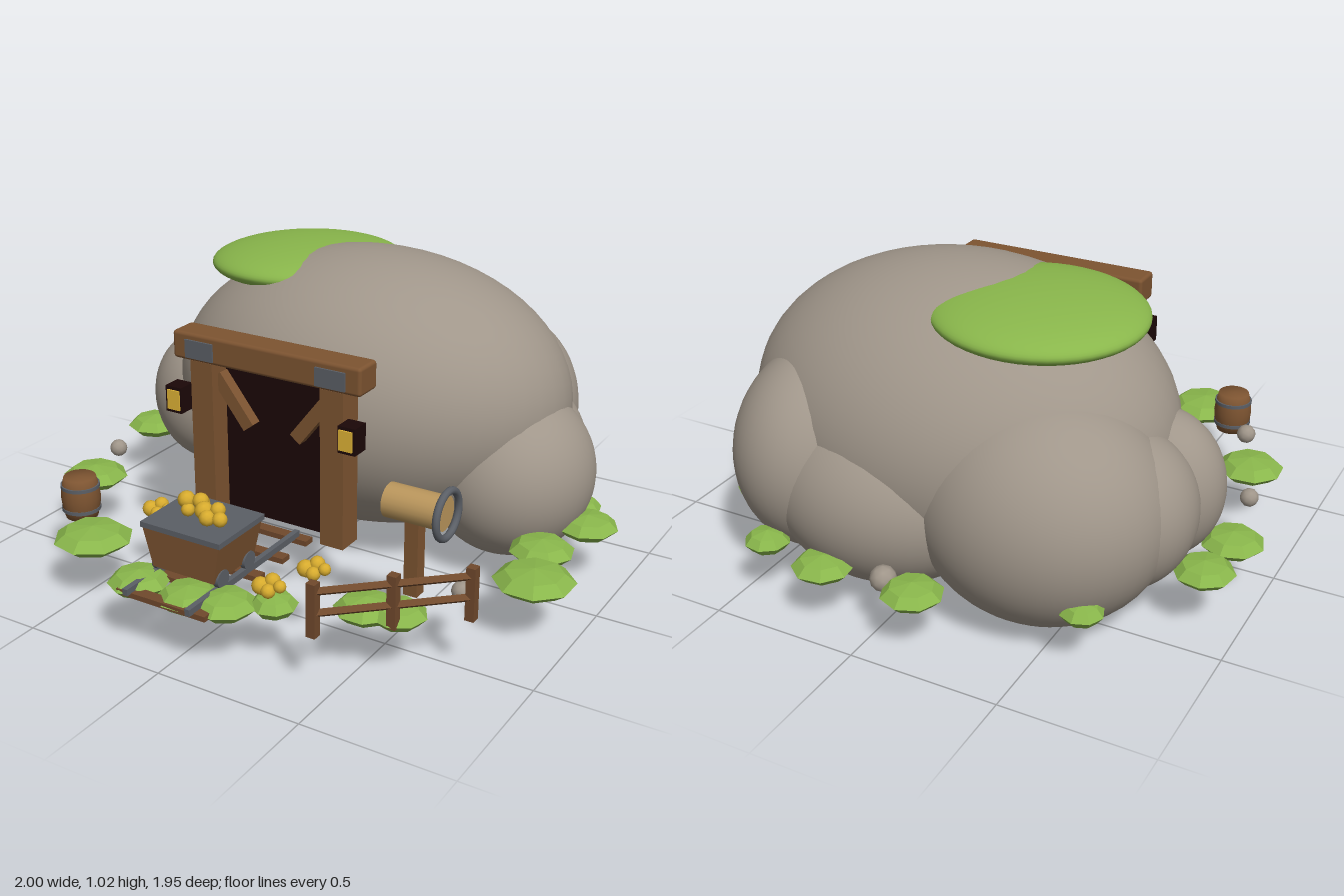
import * as THREE from 'three';
import { RoundedBoxGeometry } from 'three/addons/geometries/RoundedBoxGeometry.js';

const mat = (name, color, flatShading = false) => {
  const m = new THREE.MeshStandardMaterial({ color, flatShading });
  m.name = name;
  return m;
};

export function createModel() {
  const root = new THREE.Group();
  root.name = 'mineEntrance';
  const rock = mat('rock', 0xa0968a), moss = mat('moss', 0x89b64b, true), mossTop = mat('smoothMoss', 0x89b64b);
  const timber = mat('timber', 0x7d5431), darkWood = mat('darkWood', 0x70492c), dark = mat('darkness', 0x1b0707);
  const iron = mat('iron', 0x5b5f66), gold = mat('gold', 0xd8ac2e), glow = mat('lanternGlow', 0xe0b436), tan = mat('paleWood', 0xba965c);

  const add = (name, geo, material, pos, parent = root) => {
    const m = new THREE.Mesh(geo, material);
    m.name = name;
    m.position.set(...pos);
    parent.add(m);
    return m;
  };
  const box = (name, size, material, pos, parent) => add(name, new THREE.BoxGeometry(...size), material, pos, parent);
  const group = (name) => {
    const g = new THREE.Group();
    g.name = name;
    root.add(g);
    return g;
  };
  // Beam between two points, square section
  const beam = (name, a, b, w, d, material, parent) => {
    const p = new THREE.Vector3(...a), q = new THREE.Vector3(...b);
    const m = box(name, [w, p.distanceTo(q), d], material, p.clone().add(q).multiplyScalar(0.5).toArray(), parent);
    m.quaternion.setFromUnitVectors(new THREE.Vector3(0, 1, 0), q.sub(p).normalize());
    return m;
  };

  // Boulder mass: one tilted main rock, then overlapping ellipsoids [centre, radii]
  const boulders = group('boulders');
  const ball = new THREE.SphereGeometry(1, 48, 32);
  const main = add('mainBoulder', ball, rock, [0.01, 0.532, -0.262], boulders);
  main.scale.set(0.73, 0.49, 0.555);
  main.rotation.set(-0.24, 0, 0.035);
  [
    [[-0.39, 0.385, -0.495], [0.42, 0.38, 0.367]],
    [[0.13, 0.35, -0.56], [0.4, 0.31, 0.33]],
    [[0.38, 0.42, -0.52], [0.285, 0.35, 0.35]],
    [[-0.65, 0.375, -0.19], [0.22, 0.255, 0.19]],
    [[-0.61, 0.38, -0.4], [0.245, 0.26, 0.25]],
    [[0.58, 0.34, -0.22], [0.285, 0.29, 0.3]],
    [[0.51, 0.34, -0.4], [0.255, 0.27, 0.25]],
  ].forEach(([c, r]) => add('boulder', ball, rock, c, boulders).scale.set(...r));

  // Moss cap on the summit
  const cap = add('mossCap', ball, mossTop, [-0.28, 0.931, -0.305]);
  cap.scale.set(0.345, 0.076, 0.34);
  cap.rotation.set(-0.02, 0, 0.03);

  // Entrance frame
  const frame = group('entranceFrame');
  const cx = -0.021;
  box('darkOpening', [0.42, 0.54, 0.04], dark, [cx, 0.475, 0.275], frame);
  add('lintel', new RoundedBoxGeometry(0.71, 0.095, 0.105, 2, 0.012), timber, [cx, 0.797, 0.327], frame);
  for (const s of [-1, 1]) {
    box('post', [0.085, 0.54, 0.09], timber, [cx + s * 0.248, 0.48, 0.328], frame);
    box('bracket', [0.108, 0.062, 0.012], iron, [cx + s * 0.248, 0.792, 0.38], frame);
    beam('brace', [cx + s * 0.215, 0.7, 0.32], [cx + s * 0.09, 0.54, 0.32], 0.046, 0.04, timber, frame);
    box('lantern', [0.062, 0.09, 0.065], dark, [cx + s * 0.33, 0.618, 0.387], frame);
    box('lanternGlow', [0.048, 0.068, 0.008], glow, [cx + s * 0.328, 0.618, 0.421], frame);
  }

  // Track
  const track = group('track');
  for (let i = 0; i < 5; i++) box('sleeper', [0.33, 0.018, 0.04], darkWood, [cx, 0.208, 0.375 + i * 0.139], track);
  for (const s of [-1, 1]) box('rail', [0.018, 0.022, 0.6], iron, [cx + s * 0.116, 0.226, 0.67], track);

  // Cart with a tapered body
  const cart = group('cart');
  const body = new THREE.BoxGeometry(0.285, 0.135, 0.23);
  const bp = body.attributes.position;
  for (let i = 0; i < bp.count; i++) {
    if (bp.getY(i) < 0) bp.setXYZ(i, bp.getX(i) * 0.8, bp.getY(i), bp.getZ(i) * 0.92);
  }
  body.computeVertexNormals();
  add('cartBody', body, timber, [cx, 0.32, 0.725], cart);
  box('cartRim', [0.295, 0.018, 0.24], iron, [cx, 0.393, 0.723], cart);
  for (const s of [-1, 1]) for (const z of [0.655, 0.795]) {
    add('wheel', new THREE.CylinderGeometry(0.03, 0.03, 0.018, 14), iron, [cx + s * 0.116, 0.258, z], cart).rotation.z = Math.PI / 2;
  }

  // Gold nuggets [x, y, z, radius]
  const nuggets = group('nuggets');
  const nugget = new THREE.IcosahedronGeometry(1, 1);
  const heap = [
    [-0.11, 0.425, 0.685, 0.028], [-0.085, 0.445, 0.715, 0.028], [-0.05, 0.43, 0.685, 0.026],
    [-0.035, 0.45, 0.71, 0.026], [-0.005, 0.435, 0.735, 0.03], [0.02, 0.425, 0.755, 0.026],
    [0.04, 0.445, 0.725, 0.024], [0.06, 0.425, 0.745, 0.024], [-0.07, 0.42, 0.73, 0.022],
  ];
  for (const [x, y, z] of [[-0.355, 0.26, 0.525], [0.315, 0.27, 0.622], [0.255, 0.268, 0.778]]) {
    heap.push([x - 0.025, y, z + 0.005, 0.028], [x + 0.005, y + 0.015, z - 0.015, 0.025], [x + 0.008, y - 0.005, z + 0.015, 0.023], [x + 0.038, y + 0.01, z - 0.003, 0.02]);
  }
  heap.forEach(([x, y, z, r]) => add('nugget', nugget, gold, [x, y, z], nuggets).scale.setScalar(r));

  // Barrel
  const barrel = group('barrel');
  barrel.position.set(-0.627, 0.2, 0.594);
  const stave = [[0, 0], [0.054, 0], [0.063, 0.035], [0.067, 0.072], [0.063, 0.11], [0.054, 0.145], [0, 0.145]];
  add('barrelBody', new THREE.LatheGeometry(stave.map((p) => new THREE.Vector2(...p)), 20), timber, [0, 0, 0], barrel);
  for (const y of [0.032, 0.113]) add('hoop', new THREE.CylinderGeometry(0.066, 0.066, 0.012, 20), iron, [0, y, 0], barrel);

  // Log on a stand with an iron ring
  const stand = group('logStand');
  box('standPost', [0.046, 0.25, 0.046], timber, [0.58, 0.32, 0.472], stand);
  add('log', new THREE.CylinderGeometry(0.055, 0.055, 0.19, 20), tan, [0.583, 0.487, 0.467], stand).rotation.z = Math.PI / 2;
  add('ironRing', new THREE.TorusGeometry(0.074, 0.012, 10, 32), iron, [0.685, 0.487, 0.47], stand).rotation.y = Math.PI / 2;

  // Fence
  const fence = group('fence');
  for (let i = 0; i < 3; i++) {
    box('fencePost', [0.03, 0.175, 0.03], darkWood, [0.455 + i * 0.174, 0.288, 0.85 - i * 0.16], fence);
  }
  for (const y of [0.275, 0.345]) beam('fenceRail', [0.455, y, 0.85], [0.803, y, 0.53], 0.02, 0.018, darkWood, fence);

  // Ground tufts [x, z, radius]
  const tufts = group('mossTufts');
  const tuft = new THREE.SphereGeometry(1, 8, 4);
  [
    [-0.15, -0.88, 0.1], [0.17, -0.88, 0.1], [0.41, -0.84, 0.075], [-0.64, -0.73, 0.07], [0.64, -0.58, 0.07],
    [-0.88, -0.36, 0.1], [-0.9, -0.16, 0.105], [-0.79, 0.33, 0.115], [-0.48, 0.71, 0.132], [-0.17, 0.86, 0.1],
    [0.02, 0.86, 0.1], [0.14, 0.84, 0.1], [0.265, 0.765, 0.075], [0.51, 0.64, 0.1], [0.61, 0.62, 0.09],
    [0.81, 0.03, 0.108], [0.87, 0.225, 0.132], [0.87, -0.21, 0.105], [0.79, -0.33, 0.08],
  ].forEach(([x, z, r], i) => {
    const t = add('tuft', tuft, moss, [x, 0.206, z], tufts);
    t.scale.set(r, 0.03 + r * 0.09, r);
    t.rotation.y = i * 1.3;
  });

  // Pebbles [x, z, radius]
  const pebbles = group('pebbles');
  [[-0.86, 0.115, 0.032], [-0.7, 0.545, 0.034], [0.715, 0.415, 0.033], [-0.04, -0.865, 0.043]]
    .forEach(([x, z, r]) => add('pebble', nugget, rock, [x, 0.215, z], pebbles).scale.setScalar(r));

  return root;
}
